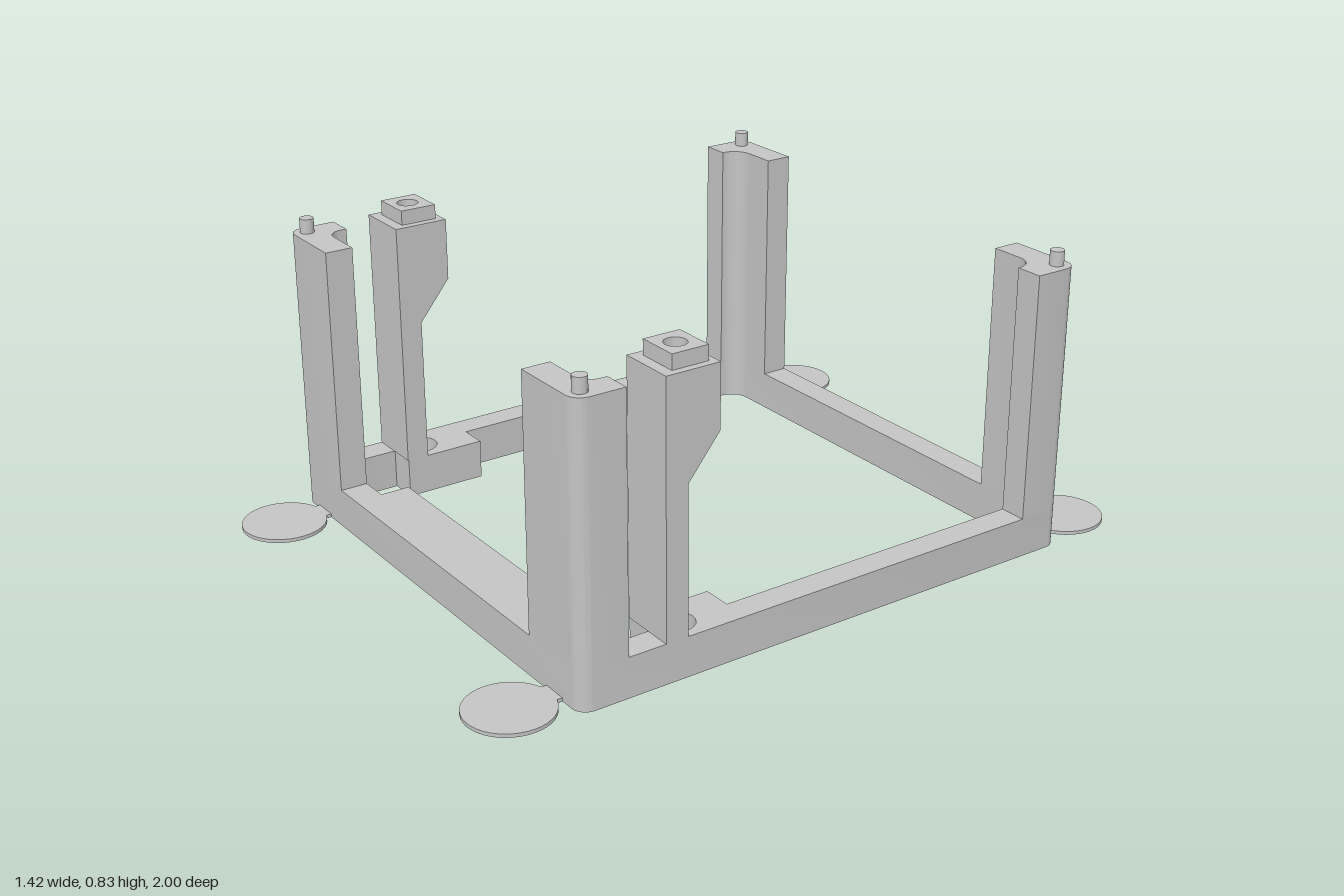
import * as THREE from 'three';
import { toCreasedNormals } from 'three/addons/utils/BufferGeometryUtils.js';

const W = 0.708, D = 0.761;           // outer half width and half depth
const RAIL = 0.11, POST = 0.79, TOP = 0.83;
const HX = 0.631, HZ = 0.44, BORE = 0.05, SMALL = 0.029; // screw channel

// Closed path from [x, z, cornerRadius] points
function trace(pts, path = new THREE.Shape()) {
  const n = pts.length;
  const v = pts.map(p => new THREE.Vector2(p[0], -p[1]));
  const toward = (a, b, d) => a.clone().add(b.clone().sub(a).setLength(d));
  pts.forEach((p, i) => {
    const r = p[2] || 0, c = v[i];
    const a = r ? toward(c, v[(i + n - 1) % n], r) : c;
    if (i === 0) path.moveTo(a.x, a.y); else path.lineTo(a.x, a.y);
    if (!r) return;
    const b = toward(c, v[(i + 1) % n], r);
    const k1 = a.clone().lerp(c, 0.552), k2 = b.clone().lerp(c, 0.552);
    path.bezierCurveTo(k1.x, k1.y, k2.x, k2.y, b.x, b.y);
  });
  path.closePath();
  return path;
}

const rect = (x0, x1, z0, z1) => [[x0, z0], [x1, z0], [x1, z1], [x0, z1]];
const mirror = (pts, sx, sz = 1) => pts.map(([x, z, r]) => [x * sx, z * sz, r]);

function circle(x, z, r) {
  const p = new THREE.Path();
  p.absarc(x, -z, r, 0, Math.PI * 2, false);
  return p;
}

// Upright prism of a plan shape between two heights
function prism(shape, y0, y1) {
  const g = new THREE.ExtrudeGeometry(shape, { depth: y1 - y0, bevelEnabled: false, curveSegments: 12 });
  g.rotateX(-Math.PI / 2);
  g.translate(0, y0, 0);
  return g;
}

// Points along the screw channel wall
function arc(from, to, steps) {
  return Array.from({ length: steps + 1 }, (_, i) => {
    const t = from + (to - from) * i / steps;
    return [HX + BORE * Math.cos(t), HZ + BORE * Math.sin(t)];
  });
}

export function createModel() {
  const model = new THREE.Group();
  const grey = new THREE.MeshStandardMaterial({ color: 0xc4c4c4 });
  grey.name = 'plain grey';

  const add = (name, geometry, parent = model) => {
    const mesh = new THREE.Mesh(toCreasedNormals(geometry, 0.6), grey);
    mesh.name = name;
    parent.add(mesh);
  };

  // Base frame, widened inward at the two support feet
  const frame = trace([[-W, -D, 0.04], [W, -D, 0.04], [W, D, 0.04], [-W, D, 0.04]]);
  const side = [[0.632, 0.684, 0.04], [0.632, 0.518], [0.551, 0.518], [0.551, 0.2875],
    [0.632, 0.2875], [0.632, -0.684, 0.055]];
  frame.holes.push(trace([...side, ...mirror(side, -1).reverse()], new THREE.Path()));
  for (const s of [1, -1]) frame.holes.push(circle(s * HX, HZ, BORE));
  add('baseFrame', prism(frame, 0, RAIL));

  // Ledge behind the front rail with a sloping underside
  const ledge = new THREE.Shape();
  ledge.moveTo(-0.684, 0);
  ledge.lineTo(-0.684, RAIL);
  ledge.lineTo(-0.602, RAIL);
  ledge.lineTo(-0.602, 0.082);
  ledge.closePath();
  const ledgeGeo = new THREE.ExtrudeGeometry(ledge, { depth: 0.8, bevelEnabled: false });
  ledgeGeo.translate(0, 0, -0.4);
  ledgeGeo.rotateY(Math.PI / 2);
  add('frontLedge', ledgeGeo);

  // Corner posts with locating pins and flat foot pads
  for (const sx of [1, -1]) for (const sz of [1, -1]) {
    const corner = new THREE.Group();
    corner.name = (sz > 0 ? 'front' : 'back') + (sx > 0 ? 'Left' : 'Right') + 'Corner';
    model.add(corner);
    const plan = [[W, D, 0.04], [W, 0.626], [0.632, 0.626], [0.632, 0.684, sz > 0 ? 0.04 : 0.055],
      [0.485, 0.684], [0.485, D]];
    add('cornerPost', prism(trace(mirror(plan, sx, sz)), RAIL, POST), corner);
    const pin = new THREE.CylinderGeometry(0.019, 0.019, TOP - POST, 20);
    pin.translate(sx * 0.669, (POST + TOP) / 2, sz * 0.723);
    add('locatingPin', pin, corner);
    const pad = new THREE.CylinderGeometry(0.115, 0.115, 0.01, 40);
    pad.translate(sx * 0.594, 0.005, sz * 0.885);
    add('footPad', pad, corner);
    const tab = new THREE.BoxGeometry(0.07, 0.0096, 0.05);
    tab.translate(sx * 0.594, 0.005, sz * 0.775);
    add('padTab', tab, corner);
  }

  // Screw supports: grooved column, sloped shoulder, bored head and boss
  const x0 = 0.551, x1 = W, zHead = 0.368, zCol = 0.457, zEnd = 0.52;
  const yLow = 0.51, yHigh = 0.62, yCeiling = 0.73;
  const a = Math.asin((zCol - HZ) / BORE);
  for (const s of [1, -1]) {
    const support = new THREE.Group();
    support.name = s > 0 ? 'leftSupport' : 'rightSupport';
    model.add(support);

    const column = [[x0, zCol], ...arc(Math.PI - a, a, 16), [x1, zCol], [x1, zEnd], [x0, zEnd]];
    add('groovedColumn', prism(trace(mirror(column, s)), RAIL, yHigh), support);

    // The underside of the shoulder rises toward the back
    const shoulder = [[x0, zCol], ...arc(Math.PI - a, 2 * Math.PI + a, 24), [x1, zCol],
      [x1, zHead], [x0, zHead]];
    const wedge = prism(trace(mirror(shoulder, s)), yLow, yHigh);
    const pos = wedge.attributes.position;
    for (let i = 0; i < pos.count; i++) {
      if (pos.getY(i) > yLow + 0.01) continue;
      pos.setY(i, yLow + (zCol - pos.getZ(i)) / (zCol - zHead) * (yHigh - yLow));
    }
    add('slopedShoulder', wedge, support);

    const bored = (name, plan, r, y0, y1) => {
      const shape = trace(mirror(plan, s));
      shape.holes.push(circle(s * HX, HZ, r));
      add(name, prism(shape, y0, y1), support);
    };
    const head = rect(x0, x1, zHead, zEnd);
    bored('lowerHead', head, BORE, yHigh, yCeiling);
    bored('upperHead', head, SMALL, yCeiling, POST);
    bored('supportBoss', rect(0.573, 0.688, 0.387, 0.49), SMALL, POST, TOP);
  }
  return model;
}
